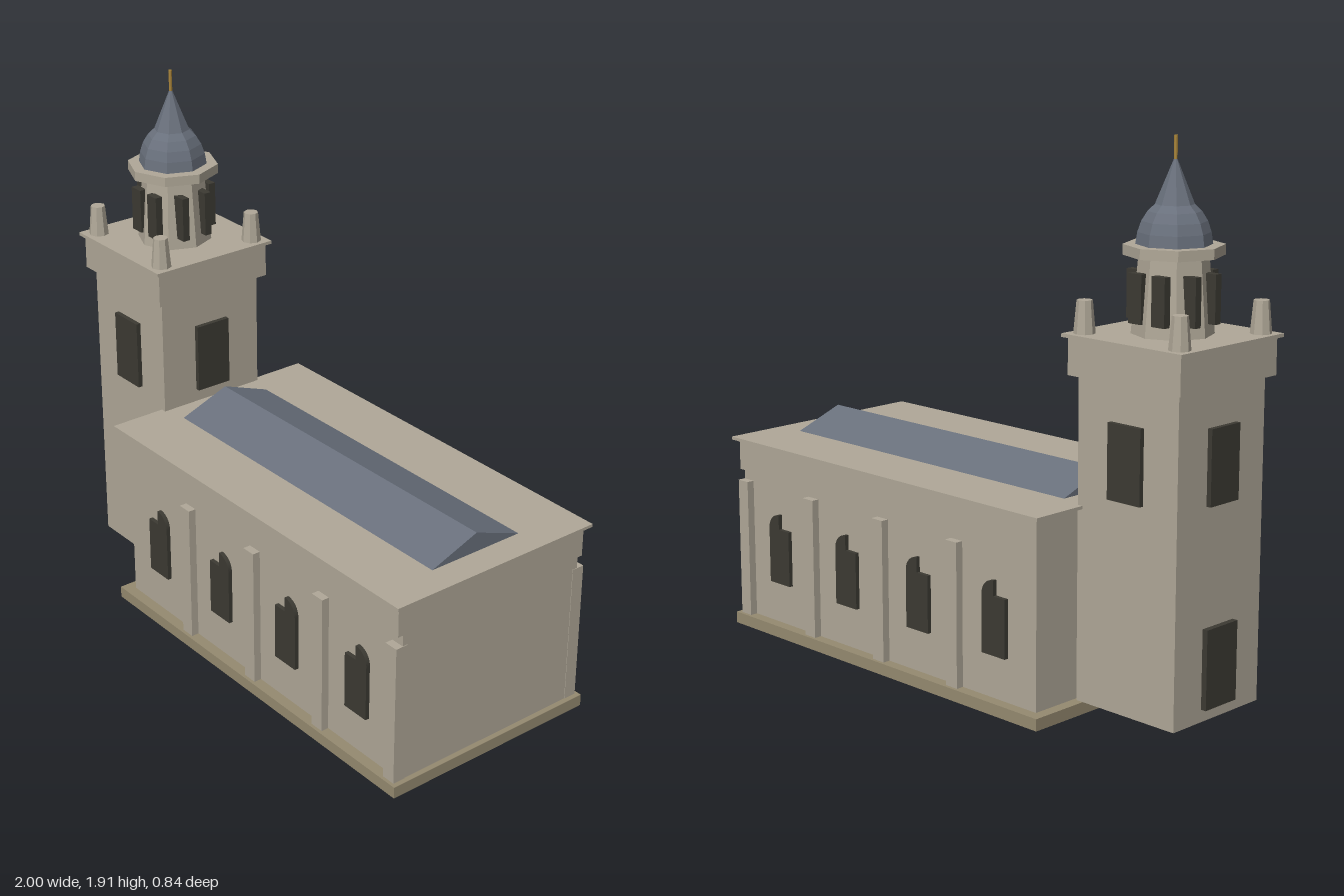
import * as THREE from 'three';

const mat = (color) => new THREE.MeshStandardMaterial({ color, flatShading: true });
const stone = mat(0xb0a898);
const base = mat(0x958a70);
const glass = mat(0x3c3a33);
const slate = mat(0x69707c);
const gold = mat(0xa8843a);
slate.side = THREE.DoubleSide;

function add(parent, name, geometry, material, x = 0, y = 0, z = 0) {
  const mesh = new THREE.Mesh(geometry, material);
  mesh.name = name;
  mesh.position.set(x, y, z);
  parent.add(mesh);
  return mesh;
}

// Box given by its extents along each axis
function block(parent, name, material, [x0, x1], [y0, y1], [z0, z1]) {
  return add(parent, name, new THREE.BoxGeometry(x1 - x0, y1 - y0, z1 - z0), material,
    (x0 + x1) / 2, (y0 + y1) / 2, (z0 + z1) / 2);
}

// Window with a quarter arch rising over its +x half
function archedWindow() {
  const s = new THREE.Shape();
  s.moveTo(-0.054, 0.195);
  s.lineTo(0.054, 0.195);
  s.lineTo(0.054, 0.4);
  s.absarc(0, 0.4, 0.054, 0, Math.PI / 2, false);
  s.lineTo(0, 0.4);
  s.lineTo(-0.054, 0.4);
  s.closePath();
  return new THREE.ExtrudeGeometry(s, { depth: 0.03, bevelEnabled: false, curveSegments: 8 });
}

function createNave() {
  const nave = new THREE.Group();
  nave.name = 'nave';
  block(nave, 'plinth', base, [-0.56, 1], [0, 0.042], [-0.42, 0.42]);
  block(nave, 'naveWalls', stone, [-0.52, 0.98], [0.042, 0.6], [-0.38, 0.38]);
  block(nave, 'frieze', stone, [-0.54, 0.98], [0.592, 0.705], [-0.4, 0.4]);
  block(nave, 'cornice', stone, [-0.56, 1], [0.703, 0.714], [-0.42, 0.42]);

  // Four bays on both long sides
  const windowGeometry = archedWindow();
  for (let i = 0; i < 4; i++) {
    const px = -0.15 + i * 0.369;
    for (const side of [1, -1]) {
      add(nave, 'naveWindow', windowGeometry, glass, -0.337 + i * 0.369, 0,
        side > 0 ? 0.365 : -0.395);
      block(nave, 'pilaster', stone, [px - 0.027, Math.min(px + 0.027, 0.982)], [0.042, 0.552],
        side > 0 ? [0.36, 0.408] : [-0.408, -0.36]);
    }
  }

  // Low pitched roof
  const gable = new THREE.Shape([
    new THREE.Vector2(-0.192, 0), new THREE.Vector2(0.192, 0), new THREE.Vector2(0, 0.072),
  ]);
  const roof = new THREE.ExtrudeGeometry(gable, { depth: 1.35, bevelEnabled: false });
  add(nave, 'roof', roof, slate, -0.457, 0.712, 0).rotation.y = Math.PI / 2;
  return nave;
}

function createTower() {
  const tower = new THREE.Group();
  tower.name = 'tower';
  tower.position.x = -0.75;
  block(tower, 'towerShaft', stone, [-0.21, 0.21], [0.047, 1.15], [-0.21, 0.21]);
  block(tower, 'towerFrieze', stone, [-0.235, 0.235], [1.142, 1.268], [-0.235, 0.235]);
  block(tower, 'towerCornice', stone, [-0.25, 0.25], [1.266, 1.278], [-0.25, 0.25]);

  // Openings on all four faces, and a door in the end wall
  for (const s of [1, -1]) {
    const range = s > 0 ? [0.2, 0.227] : [-0.227, -0.2];
    block(tower, 'towerWindow', glass, [-0.069, 0.069], [0.762, 1.014], range);
    block(tower, 'towerWindow', glass, range, [0.762, 1.014], [-0.069, 0.069]);
  }
  block(tower, 'door', glass, [-0.23, -0.2], [0.09, 0.36], [-0.075, 0.075]);

  // Corner pinnacles
  for (const x of [-0.198, 0.198]) {
    for (const z of [-0.198, 0.198]) {
      add(tower, 'pinnacle', new THREE.CylinderGeometry(0.026, 0.036, 0.11, 8), stone, x, 1.331, z);
    }
  }

  // Octagonal lantern with eight openings
  add(tower, 'lantern', new THREE.CylinderGeometry(0.112, 0.134, 0.258, 8), stone, 0, 1.404, 0);
  for (let i = 0; i < 8; i++) {
    const a = ((i + 0.5) * Math.PI) / 4;
    add(tower, 'lanternWindow', new THREE.BoxGeometry(0.054, 0.16, 0.027), glass,
      Math.sin(a) * 0.126, 1.398, Math.cos(a) * 0.126);
  }
  add(tower, 'lanternCornice', new THREE.CylinderGeometry(0.163, 0.163, 0.034, 8), stone, 0, 1.547, 0);

  // Faceted dome rising into a spire
  const profile = [
    [0.123, 1.562], [0.117, 1.602], [0.105, 1.637], [0.086, 1.668], [0.063, 1.69], [0, 1.845],
  ].map(([r, y]) => new THREE.Vector2(r, y));
  add(tower, 'dome', new THREE.LatheGeometry(profile, 8), slate);
  add(tower, 'finial', new THREE.CylinderGeometry(0.006, 0.006, 0.075, 8), gold, 0, 1.868, 0);
  return tower;
}

export function createModel() {
  const model = new THREE.Group();
  model.name = 'church';
  model.add(createNave(), createTower());
  return model;
}
